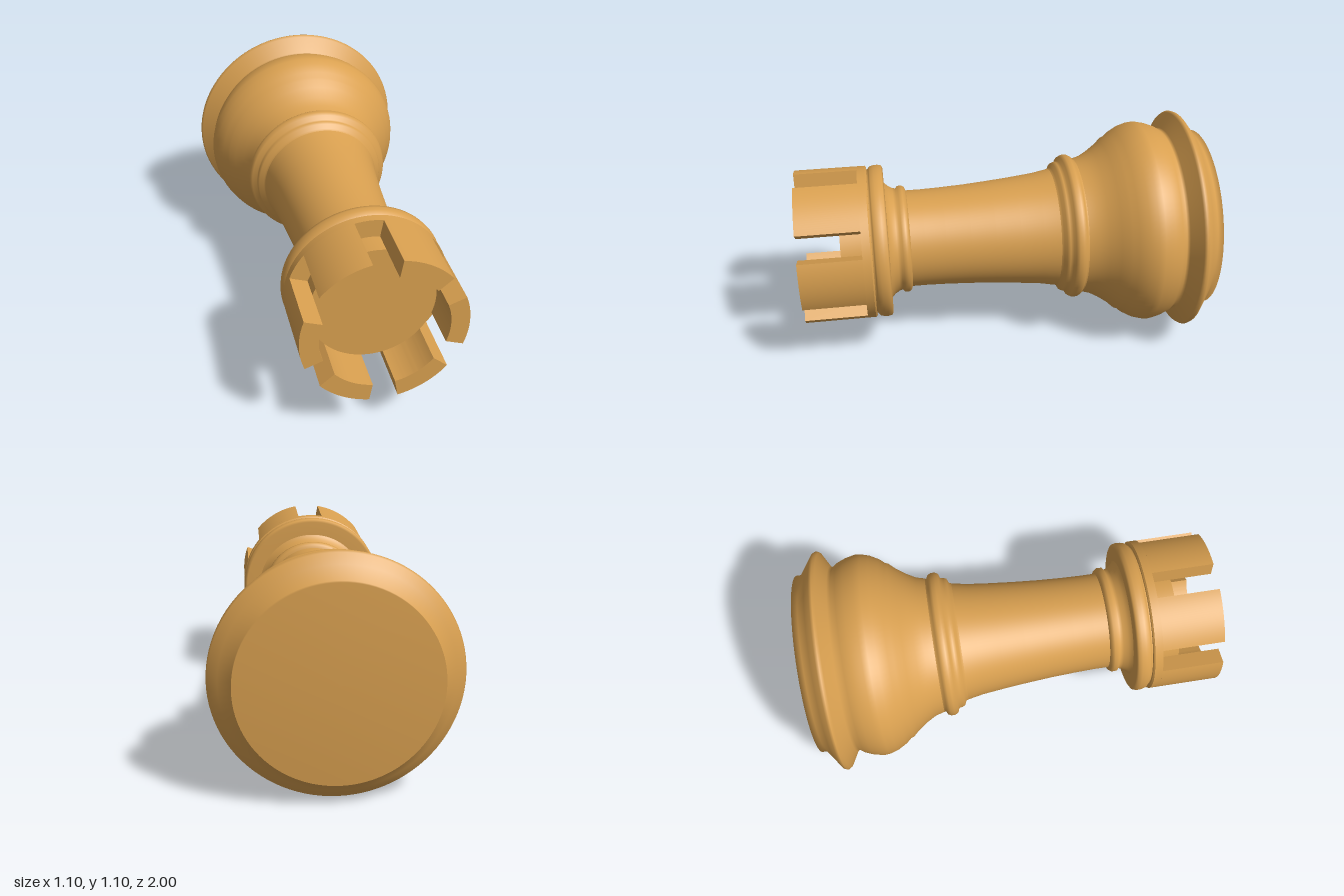
import * as THREE from 'three';
import { toCreasedNormals } from 'three/addons/utils/BufferGeometryUtils.js';

const AXIS_Y = 0.55;    // height of the lying piece's axis
const OUTER = 0.375;    // tower radii
const INNER = 0.29;

// Turned part: profile of [radius, z] from the base towards the crown
function turned(name, profile, material, creased = false) {
  let geometry = new THREE.LatheGeometry(profile.map(([r, z]) => new THREE.Vector2(r, z)), 96);
  if (creased) geometry = toCreasedNormals(geometry, 0.6);
  geometry.rotateX(Math.PI / 2);
  const mesh = new THREE.Mesh(geometry, material);
  mesh.name = name;
  return mesh;
}

export function createModel() {
  const wood = new THREE.MeshStandardMaterial({ color: 0xd9a050 });
  wood.name = 'boxwood';

  const rook = new THREE.Group();
  rook.name = 'rook';
  rook.position.y = AXIS_Y;

  // Base with its sharp flange and rounded bulge
  rook.add(turned('base', [
    [0, -1], [0.443, -1], [0.443, -0.972], [0.5, -0.93], [0.542, -0.9], [0.548, -0.885],
    [0.54, -0.872], [0.465, -0.83], [0.46, -0.815], [0.478, -0.79], [0.494, -0.75],
    [0.505, -0.7], [0.502, -0.67], [0.49, -0.63], [0.465, -0.585], [0.443, -0.56],
    [0.438, -0.545], [0.41, -0.515], [0.375, -0.465], [0.35, -0.42], [0.338, -0.375],
  ], wood));

  // Double bead under the stem
  rook.add(turned('lowerCollar', [
    [0.335, -0.38], [0.337, -0.368], [0.353, -0.36], [0.361, -0.345], [0.361, -0.325],
    [0.352, -0.308], [0.33, -0.3], [0.328, -0.285], [0.322, -0.27], [0.3, -0.26], [0.293, -0.245],
  ], wood));

  // Tapering stem
  rook.add(turned('stem', [
    [0.295, -0.25], [0.28, -0.17], [0.268, -0.06], [0.257, 0.06],
    [0.248, 0.18], [0.242, 0.3], [0.239, 0.4], [0.239, 0.48],
  ], wood));

  // Bead and flare below the tower
  rook.add(turned('upperCollar', [
    [0.239, 0.47], [0.256, 0.476], [0.265, 0.49], [0.264, 0.51], [0.252, 0.52],
    [0.256, 0.535], [0.268, 0.555], [0.283, 0.572], [0.3, 0.58],
  ], wood));

  // Projecting ring under the tower
  rook.add(turned('towerRing', [
    [0.25, 0.575], [0.36, 0.575], [0.372, 0.582], [0.376, 0.6], [0.375, 0.62],
    [0.37, 0.638], [0.362, 0.645], [0.355, 0.65], [0.355, 0.66],
  ], wood));

  // Tower wall up to the notches, with the raised floor inside
  rook.add(turned('tower', [
    [0.35, 0.654], [0.368, 0.654], [OUTER, 0.661], [OUTER, 0.7],
    [INNER, 0.7], [INNER, 0.8], [0, 0.8],
  ], wood, true));

  // Six battlements, leaving 20 degree notches
  const half = THREE.MathUtils.degToRad(20);
  const sector = new THREE.Shape();
  sector.absarc(0, 0, OUTER, -half, half, false);
  sector.absarc(0, 0, INNER, half, -half, true);
  sector.closePath();
  const block = toCreasedNormals(new THREE.ExtrudeGeometry(sector, {
    depth: 0.3, bevelEnabled: false, curveSegments: 12,
  }), 0.6);
  for (let i = 0; i < 6; i++) {
    const merlon = new THREE.Mesh(block, wood);
    merlon.name = `battlement${i + 1}`;
    merlon.position.z = 0.7;
    merlon.rotation.z = i * Math.PI / 3;
    rook.add(merlon);
  }

  const model = new THREE.Group();
  model.name = 'chessRook';
  model.add(rook);
  return model;
}
